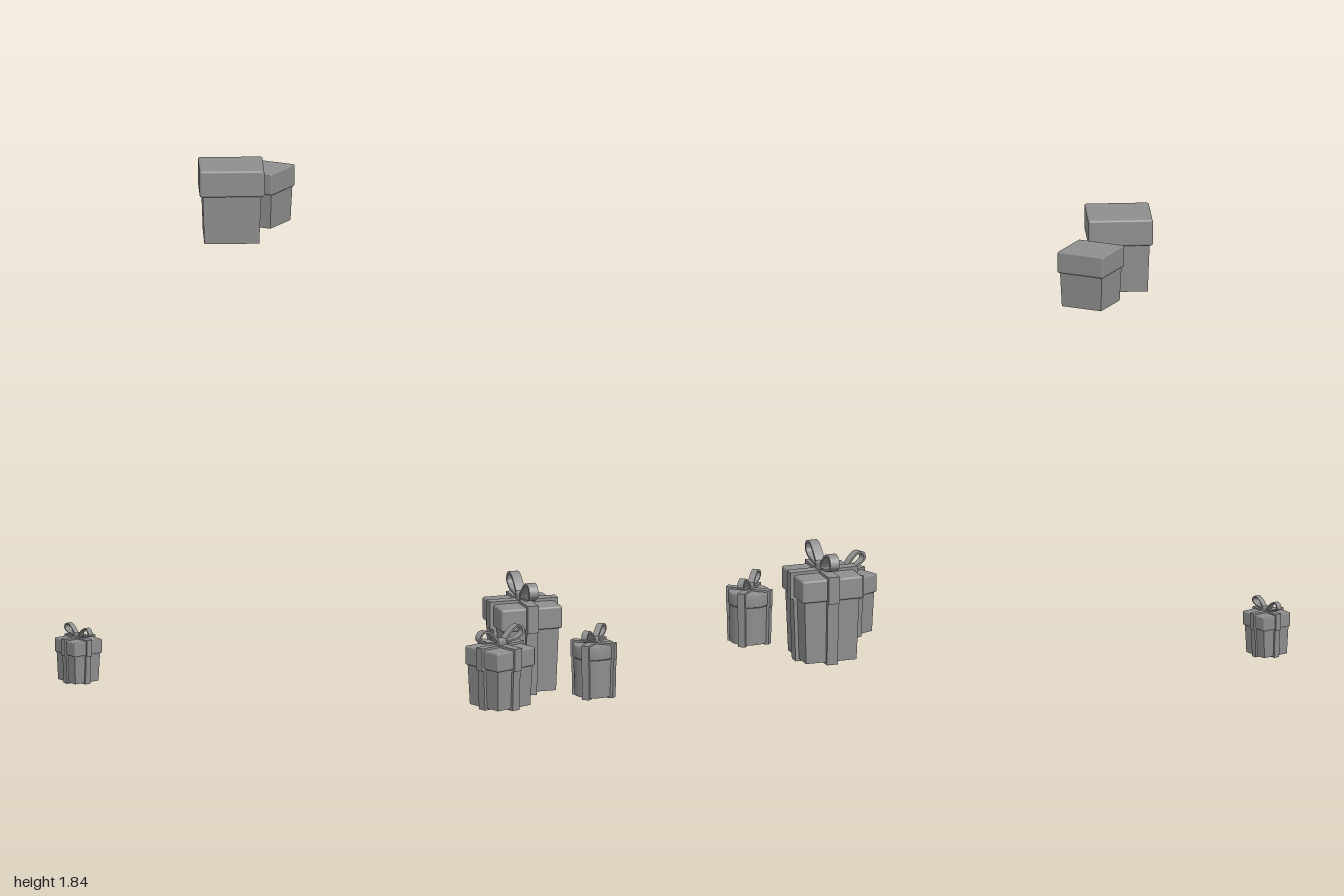
import * as THREE from 'three';
import { RoundedBoxGeometry } from 'three/addons/geometries/RoundedBoxGeometry.js';

const color = 0x8e8e8e;
const material = new THREE.MeshStandardMaterial({ color, side: THREE.DoubleSide });
const faceted = new THREE.MeshStandardMaterial({ color, side: THREE.DoubleSide, flatShading: true });

function add(parent, name, geometry, mat = material) {
  const mesh = new THREE.Mesh(geometry, mat);
  mesh.name = name;
  parent.add(mesh);
  return mesh;
}

// Extrude a profile and centre it on its depth
function slab(shape, depth) {
  return new THREE.ExtrudeGeometry(shape, { depth, bevelEnabled: false }).translate(0, 0, -depth / 2);
}

// Tapered box body, a four-sided frustum open at the base
function squareBody(top, bottom, h) {
  return new THREE.CylinderGeometry(top * Math.SQRT1_2, bottom * Math.SQRT1_2, h, 4, 1, true)
    .rotateY(Math.PI / 4);
}

// Round lid with softened rims
function roundLid(r, h) {
  const b = r * 0.06;
  const profile = [[0, 0], [r - b, 0], [r, b], [r, h - b], [r - b, h], [0, h]];
  return new THREE.LatheGeometry(profile.map(p => new THREE.Vector2(...p)), 28).translate(0, -h / 2, 0);
}

// Outline of body, lid overhang and lid top, grown outward by t
function outline(g, t) {
  const lid = g.size / 2 + t, top = g.bodyTop / 2 + t, bottom = g.bodyBottom / 2 + t;
  const half = [[bottom, g.y0 - t * 0.7], [top, g.y1 - t * 0.6], [lid, g.y1 - t * 0.6], [lid, g.y2 + t * 0.8]];
  const mirrored = half.map(([x, y]) => [-x, y]).reverse();
  return [...half, ...mirrored].map(p => new THREE.Vector2(...p));
}

// Ribbon band wrapped around the whole gift
function ribbonShape(g) {
  const shape = new THREE.Shape(outline(g, g.size * 0.055));
  shape.holes.push(new THREE.Path(outline(g, -g.size * 0.01).reverse()));
  return shape;
}

// One bow loop: a teardrop ring
function loopShape(size) {
  const points = [[0.03, 0.05], [0.2, 0.26], [0.4, 0.38], [0.55, 0.34], [0.59, 0.21], [0.43, 0.1], [0.2, 0.07]];
  const curve = new THREE.CatmullRomCurve3(points.map(([x, y]) => new THREE.Vector3(x, y, 0)), true);
  const outer = curve.getPoints(36).slice(0, -1).map(p => new THREE.Vector2(p.x, p.y).multiplyScalar(size));
  const centre = new THREE.Vector2(0.4, 0.23).multiplyScalar(size);
  const shape = new THREE.Shape(outer);
  shape.holes.push(new THREE.Path(outer.map(p => p.clone().sub(centre).multiplyScalar(0.74).add(centre)).reverse()));
  return shape;
}

function makeGift(g) {
  const gift = new THREE.Group();
  gift.name = g.name;
  gift.position.set(g.x, 0, g.z);
  gift.rotation.y = THREE.MathUtils.degToRad(g.turn);

  // Body and lid
  const h = g.y1 - g.y0, lidH = g.y2 - g.y1;
  const body = g.round
    ? add(gift, 'body', new THREE.CylinderGeometry(g.bodyTop / 2, g.bodyBottom / 2, h, 28, 1, true))
    : add(gift, 'body', squareBody(g.bodyTop, g.bodyBottom, h), faceted);
  body.position.y = g.y0 + h / 2;
  const lid = add(gift, 'lid', g.round
    ? roundLid(g.size / 2, lidH)
    : new RoundedBoxGeometry(g.size, lidH, g.size, 2, g.size * 0.035));
  lid.position.y = g.y1 + lidH / 2;
  if (!g.bow) return gift;

  // Two crossing ribbons
  for (const turn of [0, Math.PI / 2]) {
    add(gift, 'ribbon', slab(ribbonShape(g), g.size * 0.18)).rotation.y = turn;
  }

  // Bow with two mirrored loops and a knot
  const bow = new THREE.Group();
  bow.name = 'bow';
  bow.position.y = g.y2;
  bow.rotation.y = Math.PI / 2;
  gift.add(bow);
  for (const turn of [0, Math.PI]) {
    add(bow, 'bowLoop', slab(loopShape(g.size), g.size * 0.15)).rotation.y = turn;
  }
  const k = g.size * 0.2;
  add(bow, 'bowKnot', new RoundedBoxGeometry(k, k * 0.8, k, 2, k * 0.2)).position.y = k * 0.4;
  return gift;
}

export function createModel() {
  const model = new THREE.Group();
  model.name = 'giftBoxes';
  // y0: base, y1: lid underside, y2: lid top
  const gifts = [
    { name: 'largePlainBox', x: -0.578, z: -0.193, turn: 24.2, size: 0.236, bodyTop: 0.213, bodyBottom: 0.2, y0: 1.56, y1: 1.737, y2: 1.836 },
    { name: 'smallPlainBox', x: -0.57, z: -0.461, turn: -5, size: 0.184, bodyTop: 0.168, bodyBottom: 0.158, y0: 1.56, y1: 1.687, y2: 1.768 },
    { name: 'largeGift', x: 0.61, z: -0.099, turn: 40.3, size: 0.234, bodyTop: 0.211, bodyBottom: 0.195, y0: 0.009, y1: 0.243, y2: 0.327, bow: true },
    { name: 'mediumGift', x: 0.65, z: 0.21, turn: -26, size: 0.183, bodyTop: 0.167, bodyBottom: 0.156, y0: 0.012, y1: 0.16, y2: 0.23, bow: true },
    { name: 'smallGift', x: -0.908, z: 0.464, turn: 59, size: 0.125, bodyTop: 0.113, bodyBottom: 0.105, y0: 0.018, y1: 0.122, y2: 0.174, bow: true },
    { name: 'roundGift', x: 0.914, z: -0.046, turn: 0, size: 0.155, bodyTop: 0.149, bodyBottom: 0.142, y0: 0.019, y1: 0.16, y2: 0.21, bow: true, round: true },
  ];
  gifts.forEach(g => model.add(makeGift(g)));
  return model;
}
